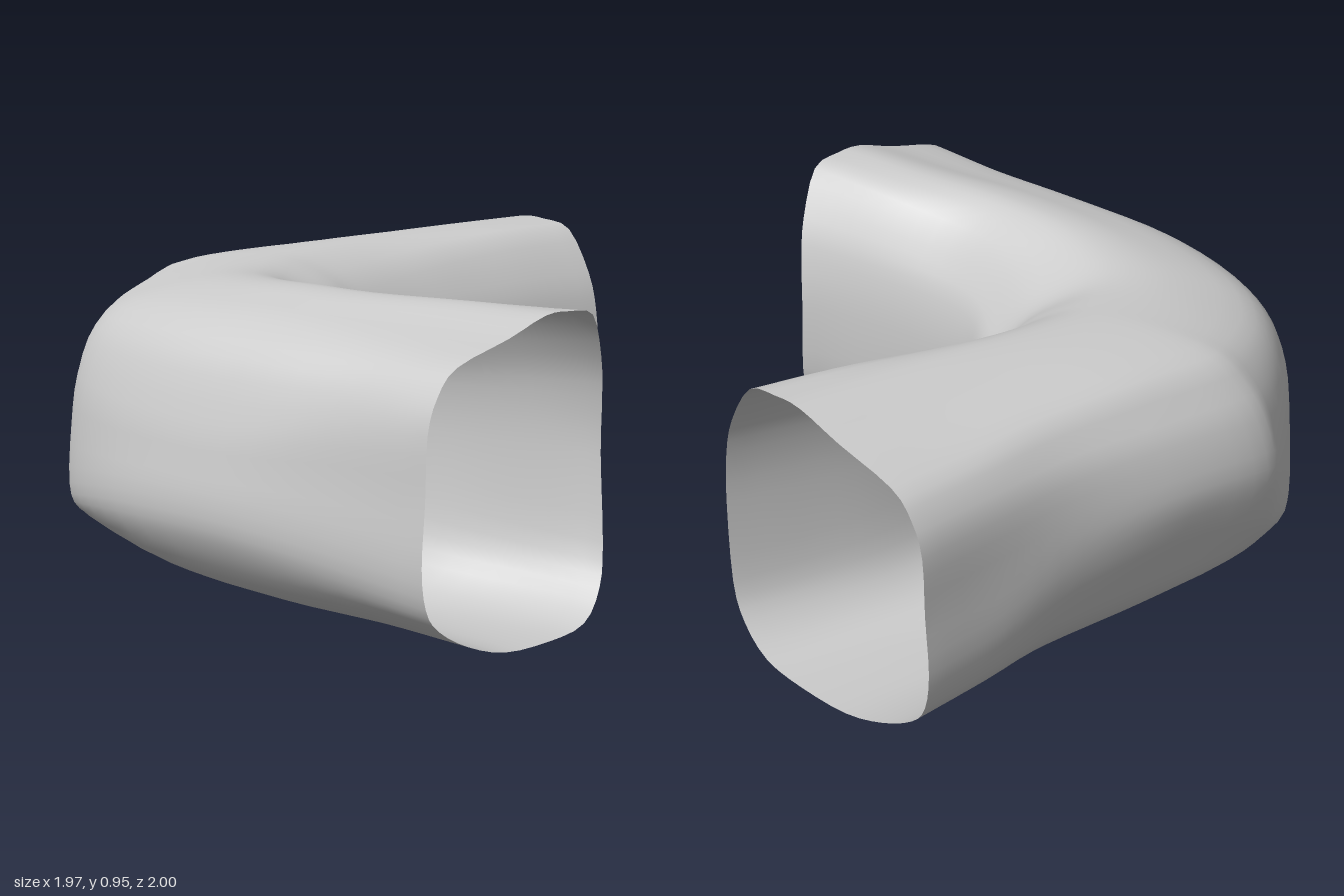
import * as THREE from 'three';

// Cross-sections: [u, y], u runs from the inside of the bend (0) to the outside (1).
// Order: inner side, floor, outer side, roof.
const MOUTH = [[0, .48], [.02, .22], [.08, .1], [.2, .02], [.38, 0], [.6, .01], [.78, .06], [.92, .13], [.98, .2], [1, .32],
  [.985, .5], [.975, .68], [.93, .78], [.84, .85], [.6, .9], [.42, .945], [.3, .945], [.17, .92], [.06, .78], [.015, .65]];
const FRONT_BULGE = [[0, .48], [.02, .26], [.07, .12], [.2, .03], [.38, 0], [.53, .01], [.71, .05], [.86, .12], [.975, .25], [1, .36],
  [.98, .48], [.95, .6], [.86, .78], [.71, .87], [.55, .91], [.42, .935], [.3, .93], [.17, .86], [.07, .74], [.02, .64]];
const REAR_BULGE = [[0, .48], [.02, .26], [.07, .12], [.2, .03], [.38, 0], [.55, .03], [.78, .1], [.87, .2], [.92, .34], [.97, .47],
  [1, .58], [.945, .72], [.87, .8], [.78, .88], [.6, .91], [.42, .935], [.3, .93], [.17, .86], [.07, .74], [.02, .64]];
const ELBOW = [[0, .48], [.02, .34], [.06, .23], [.15, .15], [.3, .13], [.5, .13], [.72, .13], [.88, .12], [.97, .13], [1, .2],
  [.99, .42], [.97, .6], [.92, .74], [.82, .83], [.6, .9], [.42, .91], [.3, .865], [.17, .78], [.07, .66], [.02, .58]];

// Stations along the bend: inner x, z, outer x, z, then shares of front bulge, rear bulge, elbow
const STATIONS = [
  [-.06, 1, -.895, 1, 0, 0, 0],
  [-.12, .7, -.91, .65, .4, 0, 0],
  [-.185, .43, -.975, .25, 1, 0, 0],
  [-.18, .24, -.98, -.2, .88, 0, .12],
  [-.12, .12, -.86, -.57, .35, .05, .6],
  [-.04, .02, -.67, -.77, 0, 0, 1],
  [.04, -.05, -.42, -.94, .05, .35, .6],
  [.13, -.1, -.28, -1, 0, .68, .32],
  [.3, -.12, .02, -.97, 0, .8, .1],
  [.5, -.1, .4, -.9, 0, .5, 0],
  [.75, -.04, .7, -.88, 0, .1, 0],
  [.985, .02, .985, -.88, 0, 0, 0],
];

// One ring of control points, with the rim pulled back on the inside of each mouth
function ring([ix, iz, ox, oz, front, rear, elbow], index) {
  return MOUTH.map((mouth, k) => {
    const [u, y] = mouth.map((m, c) => m * (1 - front - rear - elbow)
      + FRONT_BULGE[k][c] * front + REAR_BULGE[k][c] * rear + ELBOW[k][c] * elbow);
    const recess = u < .3 ? Math.max(0, 1 - ((y - .48) / .46) ** 2) : 0;
    return new THREE.Vector3(
      ix + (ox - ix) * u - (index === STATIONS.length - 1 ? .015 * recess : 0),
      y,
      iz + (oz - iz) * u - (index === 0 ? .09 * recess : 0));
  });
}

// Skin through the rings, smoothed around and along the bend
function skin(rings, around, along) {
  const loops = rings.map((r) => new THREE.CatmullRomCurve3(r, true, 'catmullrom', .5).getPoints(around).slice(0, around));
  const lines = loops[0].map((_, j) => new THREE.CatmullRomCurve3(loops.map((l) => l[j]), false, 'catmullrom', .5).getPoints(along));
  const positions = [], indices = [];
  for (let i = 0; i <= along; i++) {
    for (let j = 0; j < around; j++) {
      const p = lines[j][i];
      positions.push(p.x, Math.max(0, p.y), p.z);
      if (i === along) continue;
      const a = i * around + j, b = i * around + (j + 1) % around;
      indices.push(a, b, a + around, b, b + around, a + around);
    }
  }
  const geometry = new THREE.BufferGeometry();
  geometry.setAttribute('position', new THREE.Float32BufferAttribute(positions, 3));
  geometry.setIndex(indices);
  geometry.computeVertexNormals();
  return geometry;
}

export function createModel() {
  const group = new THREE.Group();
  group.name = 'bentTube';
  // Open elbow-shaped tube wall
  const wall = new THREE.Mesh(
    skin(STATIONS.map(ring), 60, 44),
    new THREE.MeshStandardMaterial({ color: 0xcccccc, side: THREE.DoubleSide }));
  wall.name = 'tubeWall';
  group.add(wall);
  return group;
}
